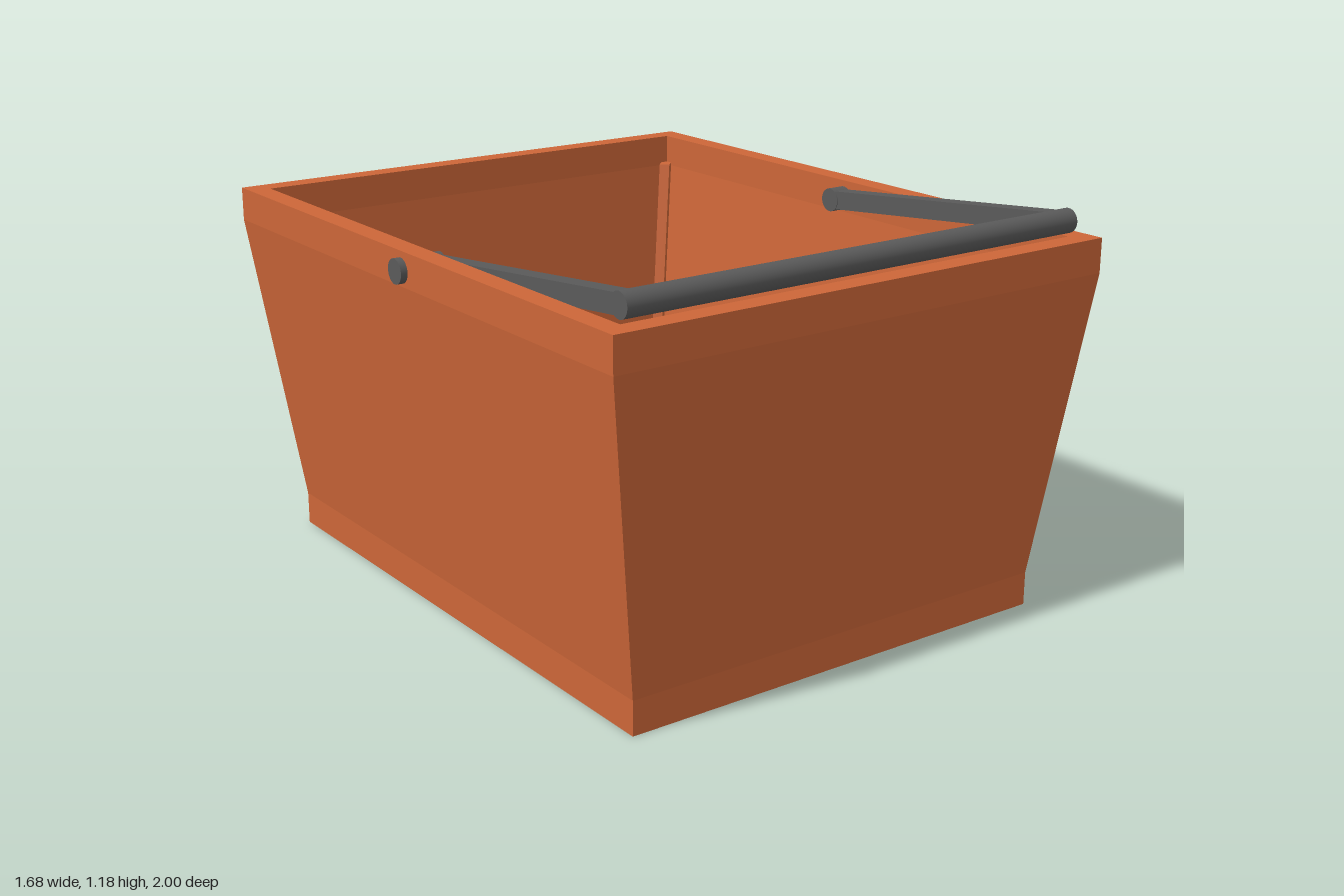
import * as THREE from 'three';

const orange = new THREE.MeshStandardMaterial({ color: 0xcc6638 });
const grey = new THREE.MeshStandardMaterial({ color: 0x5a5a5a });

// Half sizes of the tapered body at its foot and at its rim
const FOOT = 0.1, RIM = 1.0, TOP = 1.1;
const OUT = { x: [0.70, 0.82], z: [0.905, 1.0] };
const INN = { x: [0.66, 0.755], z: [0.87, 0.935] };
const at = (pair, y) => THREE.MathUtils.lerp(pair[0], pair[1], (y - FOOT) / (RIM - FOOT));

function part(name, geometry, material = orange) {
  const mesh = new THREE.Mesh(geometry, material);
  mesh.name = name;
  return mesh;
}

function rect(Type, x0, x1, y0, y1) {
  return new Type([[x0, y0], [x1, y0], [x1, y1], [x0, y1]].map(p => new THREE.Vector2(...p)));
}

// Horizontal slab or ring, lying between y0 and y1
function slab(shape, y0, y1) {
  return new THREE.ExtrudeGeometry(shape, { depth: y1 - y0, bevelEnabled: false })
    .rotateX(-Math.PI / 2).translate(0, y0, 0);
}

function ring(ox, oz, ix, iz, y0, y1) {
  const shape = rect(THREE.Shape, -ox, ox, -oz, oz);
  shape.holes.push(rect(THREE.Path, -ix, ix, -iz, iz));
  return slab(shape, y0, y1);
}

// Leaning wall with two rows of slots, mitred at the corners
function wall(across, along, slots, first) {
  const [b, t] = OUT[along];
  const shape = new THREE.Shape([[-b, FOOT], [b, FOOT], [t, RIM], [-t, RIM]]
    .map(p => new THREE.Vector2(...p)));
  const width = 0.053, pitch = (2 * first - width) / (slots - 1);
  for (const [y0, y1] of [[0.355, 0.647], [0.70, 0.992]]) {
    for (let i = 0; i < slots; i++) {
      const x = -first + i * pitch;
      shape.holes.push(rect(THREE.Path, x, x + width, y0, y1));
    }
  }
  const geo = new THREE.ExtrudeGeometry(shape, { depth: 1, bevelEnabled: false });
  const p = geo.attributes.position;
  for (let i = 0; i < p.count; i++) {
    const u = p.getX(i), y = p.getY(i), d = p.getZ(i);
    const mix = key => THREE.MathUtils.lerp(at(INN[key], y), at(OUT[key], y), d);
    if (Math.abs(u) > first + 0.02) p.setX(i, Math.sign(u) * mix(along));
    p.setZ(i, mix(across));
  }
  geo.computeVertexNormals();
  return geo;
}

// Diagonal rib leaning along an inner corner
function cornerRib(sx, sz) {
  const geo = new THREE.BoxGeometry(0.034, RIM - FOOT + 0.02, 0.08)
    .translate(0, (RIM + FOOT) / 2, -0.02)
    .rotateY(Math.atan2(sx, sz));
  const p = geo.attributes.position;
  for (let i = 0; i < p.count; i++) {
    const y = p.getY(i);
    p.setX(i, p.getX(i) + sx * at(INN.x, y));
    p.setZ(i, p.getZ(i) + sz * at(INN.z, y));
  }
  geo.computeVertexNormals();
  return geo;
}

function createModel() {
  const model = new THREE.Group();
  model.name = 'shoppingBasket';

  // Slotted floor and the foot ring around it
  const floor = rect(THREE.Shape, -0.67, 0.67, -0.88, 0.88);
  for (const x of [-0.49, 0.088]) {
    for (let i = 0; i < 15; i++) {
      const z = (i - 7) * 0.0965;
      floor.holes.push(rect(THREE.Path, x, x + 0.397, z - 0.022, z + 0.022));
    }
  }
  model.add(part('floor', slab(floor, 0.04, 0.095)));
  model.add(part('footRing', ring(0.70, 0.905, 0.66, 0.87, 0, FOOT)));

  // Four slotted walls
  const endWall = wall('z', 'x', 11, 0.55);
  const sideWall = wall('x', 'z', 15, 0.75);
  ['frontWall', 'leftWall', 'backWall', 'rightWall'].forEach((name, i) => {
    const mesh = part(name, i % 2 ? sideWall : endWall);
    mesh.rotation.y = i * Math.PI / 2;
    model.add(mesh);
  });

  // Upright rim band
  model.add(part('rim', ring(0.82, 1.0, 0.755, 0.935, RIM, TOP)));

  for (const sx of [-1, 1])
    for (const sz of [-1, 1]) model.add(part('cornerRib', cornerRib(sx, sz)));

  // Folded handle: grip bar, two arms and their pivot pins
  const handle = new THREE.Group();
  handle.name = 'handle';
  const pivot = new THREE.Vector2(0, 1.045), grip = new THREE.Vector2(0.93, 1.145);
  const rod = (r, len) => new THREE.CylinderGeometry(r, r, len, 32).rotateZ(Math.PI / 2);
  const bar = part('gripBar', rod(0.035, 1.51), grey);
  bar.position.set(0, grip.y, grip.x);
  handle.add(bar);
  const span = grip.clone().sub(pivot);
  for (const s of [-1, 1]) {
    const arm = part('handleArm', new THREE.BoxGeometry(0.05, 0.056, span.length()), grey);
    arm.position.set(s * 0.725, (pivot.y + grip.y) / 2, (pivot.x + grip.x) / 2);
    arm.rotation.x = -Math.atan2(span.y, span.x);
    const pin = part('pivotPin', rod(0.036, 0.142), grey);
    pin.position.set(s * 0.769, pivot.y, pivot.x);
    handle.add(arm, pin);
  }
  model.add(handle);
  return model;
}

export { createModel };
